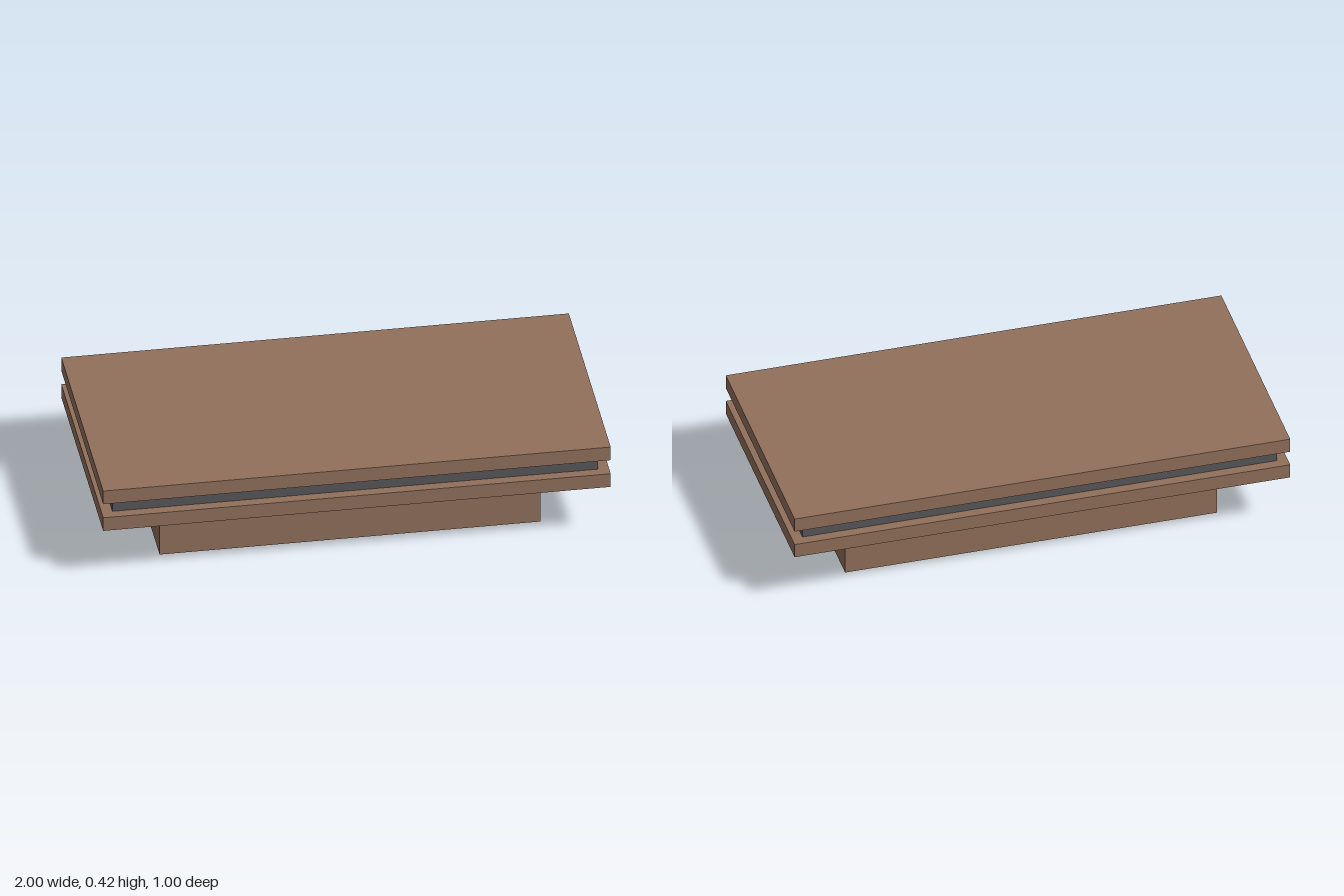
import * as THREE from 'three';

export function createModel() {
  const model = new THREE.Group();
  const brown = new THREE.MeshStandardMaterial({ color: 0x92705c });
  brown.name = 'brown';
  const grey = new THREE.MeshStandardMaterial({ color: 0x58585a });
  grey.name = 'darkGrey';

  // Box spanning y0..y1, centred on x and z
  function slab(name, width, depth, y0, y1, material) {
    const mesh = new THREE.Mesh(new THREE.BoxGeometry(width, y1 - y0, depth), material);
    mesh.name = name;
    mesh.position.y = (y0 + y1) / 2;
    model.add(mesh);
  }

  function rectangle(PathType, width, depth) {
    const x = width / 2, z = depth / 2;
    return new PathType([
      new THREE.Vector2(-x, -z), new THREE.Vector2(x, -z),
      new THREE.Vector2(x, z), new THREE.Vector2(-x, z),
    ]);
  }

  // Hollow rectangular base, open underneath
  const baseHeight = 0.235, wall = 0.026;
  const outline = rectangle(THREE.Shape, 1.5, 0.667);
  outline.holes.push(rectangle(THREE.Path, 1.5 - 2 * wall, 0.667 - 2 * wall));
  const baseGeometry = new THREE.ExtrudeGeometry(outline, { depth: baseHeight, bevelEnabled: false });
  baseGeometry.rotateX(-Math.PI / 2);
  const base = new THREE.Mesh(baseGeometry, brown);
  base.name = 'hollowBase';
  model.add(base);

  // Two plates with a recessed core between them
  slab('lowerPlate', 2, 1, baseHeight, 0.295, brown);
  slab('recessedCore', 1.914, 0.918, 0.295, 0.357, grey);
  slab('topPlate', 2, 1, 0.357, 0.417, brown);

  return model;
}
